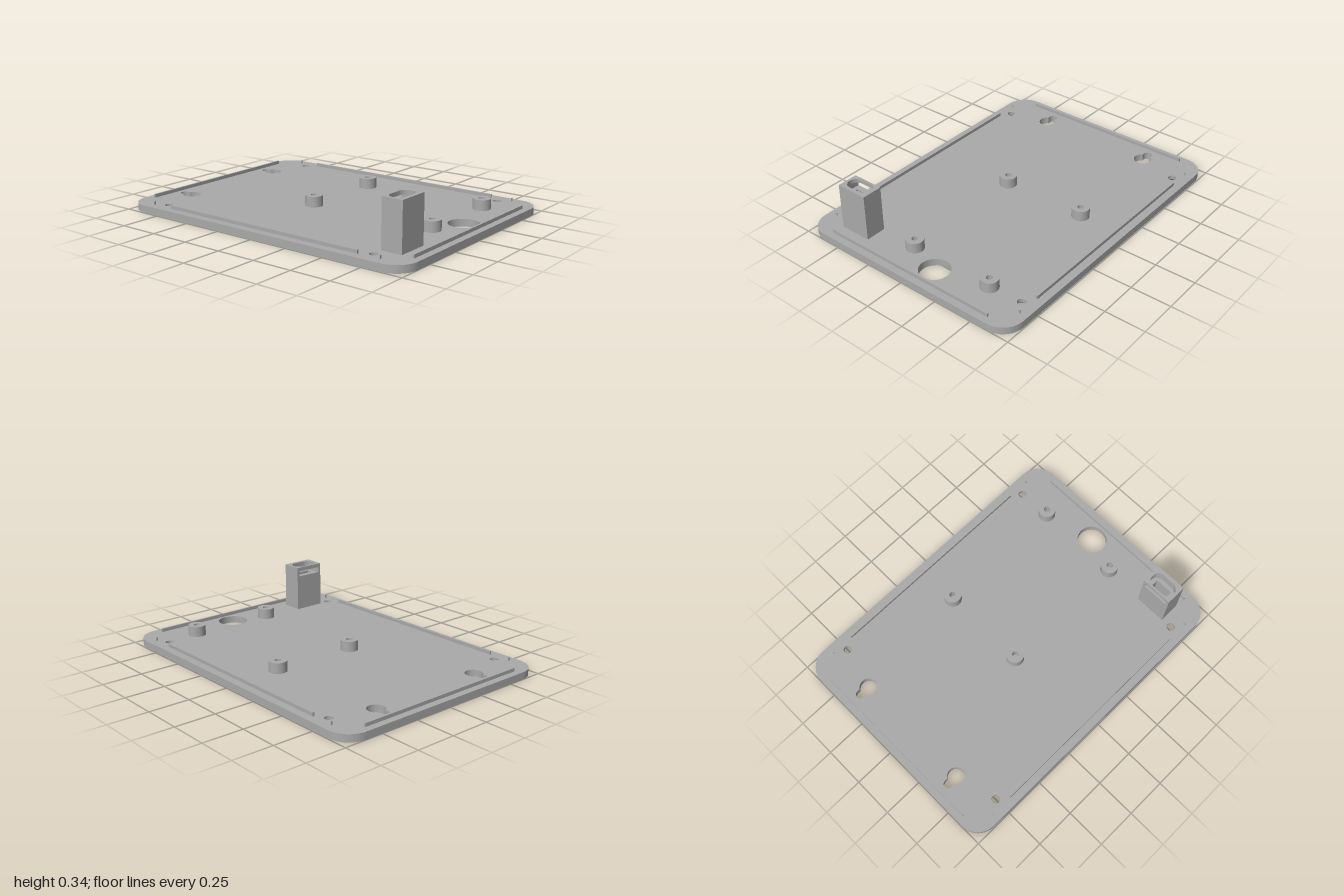
import * as THREE from 'three';
import { toCreasedNormals } from 'three/addons/utils/BufferGeometryUtils.js';

const PLATE_TOP = 0.045, SINK_TOP = 0.02, RIM_TOP = 0.066;

export function createModel() {
  const model = new THREE.Group();
  model.name = 'mountingPlate';
  const grey = new THREE.MeshStandardMaterial({ color: 0xaaaaaa });
  grey.name = 'grey plastic';
  const greyInner = grey.clone();
  greyInner.side = THREE.DoubleSide;

  const add = (name, geometry, material = grey) => {
    const mesh = new THREE.Mesh(geometry, material);
    mesh.name = name;
    model.add(mesh);
    return mesh;
  };

  // Plan outlines take (x, z) of the model; shape y is -z
  const roundRect = (x, z, w, d, r, T = THREE.Path) => {
    const p = new T(), a = w / 2, b = d / 2, y = -z;
    if (r <= 0) {
      p.moveTo(x - a, y - b).lineTo(x + a, y - b).lineTo(x + a, y + b).lineTo(x - a, y + b);
    } else {
      p.absarc(x + a - r, y - b + r, r, -Math.PI / 2, 0);
      p.absarc(x + a - r, y + b - r, r, 0, Math.PI / 2);
      p.absarc(x - a + r, y + b - r, r, Math.PI / 2, Math.PI);
      p.absarc(x - a + r, y - b + r, r, Math.PI, Math.PI * 1.5);
    }
    p.closePath();
    return p;
  };
  const circle = (x, z, r, T = THREE.Path) => new T().absarc(x, -z, r, 0, Math.PI * 2);
  const slab = (shape, holes, y0, y1) => {
    shape.holes = holes;
    const g = new THREE.ExtrudeGeometry(shape, { depth: y1 - y0, bevelEnabled: false, curveSegments: 20 });
    g.rotateX(-Math.PI / 2).translate(0, y0, 0);
    return toCreasedNormals(g, 0.6);
  };
  // Keyhole: round opening with a narrow neck towards the back
  const keyhole = (x) => {
    const r = 0.053, n = 0.026, y = 0.825, a = Math.acos(n / r);
    const p = new THREE.Path();
    p.absarc(x, y, r, Math.PI - a, Math.PI * 2 + a);
    p.absarc(x, 0.915 - n, n, 0, Math.PI);
    p.closePath();
    return p;
  };

  const screws = [];
  for (const x of [-0.645, 0.645]) for (const z of [-0.755, 0.755]) screws.push([x, z]);
  const tower = { x: -0.475, z: 0.815, w: 0.2, d: 0.13 };
  const port = () => roundRect(tower.x, 0.808, 0.11, 0.045, 0);

  // Base plate in two layers, so that the screw holes widen underneath
  const plateLayer = (name, y0, y1, screwRadius) => add(name, slab(
    roundRect(0, 0, 1.49, 2, 0.135, THREE.Shape),
    [keyhole(-0.385), keyhole(0.38), circle(0.105, 0.84, 0.092), port(),
      ...screws.map(([x, z]) => circle(x, z, screwRadius))], y0, y1));
  plateLayer('plateBottom', 0, SINK_TOP, 0.045);
  plateLayer('plateTop', SINK_TOP, PLATE_TOP, 0.025);
  for (const [x, z] of screws) {
    add('countersink', new THREE.CylinderGeometry(0.025, 0.045, SINK_TOP, 32, 1, true), greyInner)
      .position.set(x, SINK_TOP / 2, z);
  }

  // Locating rails along the edges and thin corner tabs
  const block = (name, x, z, w, d) => {
    const h = RIM_TOP - PLATE_TOP;
    add(name, new THREE.BoxGeometry(w, h, d)).position.set(x, PLATE_TOP + h / 2, z);
  };
  for (const s of [-1, 1]) {
    block('sideRail', s * 0.691, 0, 0.012, 1.375);
    block('endRail', 0, s * 0.952, 1.16, 0.012);
    for (const t of [-1, 1]) block('cornerTab', s * 0.691, t * 0.828, 0.012, 0.003);
  }

  // Hollow standoffs
  for (const x of [-0.112, 0.435]) for (const z of [-0.066, 0.765]) {
    add('standoff', slab(circle(x, z, 0.054, THREE.Shape), [circle(x, z, 0.019)], PLATE_TOP, 0.11));
  }

  // Connector tower: shaft, a layer open at the back, and a top collar
  const towerBox = () => roundRect(tower.x, tower.z, tower.w, tower.d, 0, THREE.Shape);
  const pocket = () => roundRect(tower.x, 0.81, 0.165, 0.095, 0.046);
  add('towerShaft', slab(towerBox(), [port()], PLATE_TOP, 0.275));

  const a = tower.w / 2, b = tower.d / 2, i = 0.0825, y = -tower.z, r = 0.046;
  const openLayer = new THREE.Shape();
  openLayer.moveTo(tower.x - a, y + b).lineTo(tower.x - a, y - b);
  openLayer.lineTo(tower.x + a, y - b).lineTo(tower.x + a, y + b);
  openLayer.lineTo(tower.x + i, y + b).lineTo(tower.x + i, -0.81);
  openLayer.absarc(tower.x + i - r, -0.81, r, 0, -Math.PI / 2, true);
  openLayer.absarc(tower.x - i + r, -0.81, r, -Math.PI / 2, -Math.PI, true);
  openLayer.lineTo(tower.x - i, y + b);
  openLayer.closePath();
  add('towerSlot', slab(openLayer, [], 0.275, 0.31));
  add('towerCollar', slab(towerBox(), [pocket()], 0.31, 0.335));

  return model;
}
